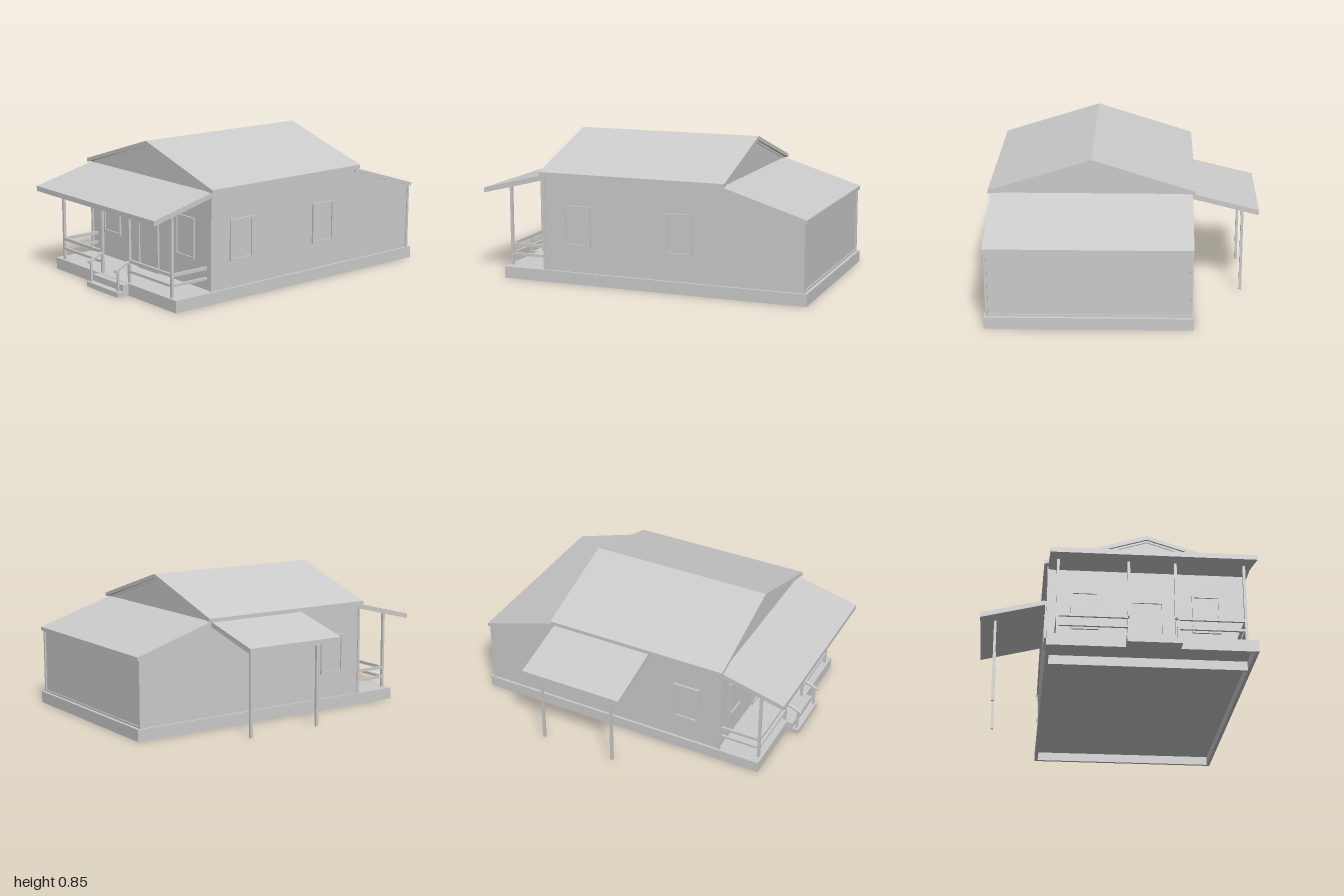
import * as THREE from 'three';

export function createModel() {
  const house = new THREE.Group();
  house.name = 'house';
  const mat = new THREE.MeshStandardMaterial({ color: 0xcccccc, flatShading: true });
  const CX = 0.183; // ridge line of the house

  const add = (name, geo) => {
    const m = new THREE.Mesh(geo, mat);
    m.name = name;
    house.add(m);
    return m;
  };
  // box given by its extents on each axis
  const box = (name, x0, x1, y0, y1, z0, z1) => {
    const m = add(name, new THREE.BoxGeometry(x1 - x0, y1 - y0, z1 - z0));
    m.position.set((x0 + x1) / 2, (y0 + y1) / 2, (z0 + z1) / 2);
    return m;
  };
  const outline = pts => new THREE.Shape(pts.map(p => new THREE.Vector2(p[0], p[1])));
  // outline in (x, y), extruded along z
  const prismZ = (name, pts, z0, z1) => {
    const g = new THREE.ExtrudeGeometry(outline(pts), { depth: z1 - z0, bevelEnabled: false });
    return add(name, g.translate(0, 0, z0));
  };
  // outline in (z, y), extruded along x
  const prismX = (name, pts, x0, x1) => {
    const g = new THREE.ExtrudeGeometry(outline(pts.map(p => [-p[0], p[1]])), { depth: x1 - x0, bevelEnabled: false });
    return add(name, g.rotateY(Math.PI / 2).translate(x0, 0, 0));
  };

  // Foundation: open-bottomed skirt, cross beam and floor
  box('foundationLeft', 0.755, 0.775, 0, 0.07, -1, 0.865);
  box('foundationRight', -0.409, -0.389, 0, 0.07, -1, 0.865);
  for (const z of [-1, 0.585, 0.845]) box('foundationBeam', -0.389, 0.755, 0, 0.07, z, z + 0.02);
  box('floor', -0.389, 0.755, 0.055, 0.07, -0.98, 0.585);
  box('porchFloor', -0.389, 0.755, 0.055, 0.07, 0.605, 0.845);

  // Walls with the lower rear part, and gable block
  prismX('walls', [[0.6, 0.07], [0.6, 0.635], [-0.5, 0.635], [-0.975, 0.47], [-0.975, 0.07]], -0.395, 0.76);
  prismZ('gables', [[-0.4, 0.63], [0.766, 0.63], [CX, 0.822]], -0.502, 0.602);

  // Corner boards and base trim
  for (const [x0, x1] of [[-0.401, -0.386], [0.751, 0.766]]) {
    box('frontCornerBoard', x0, x1, 0.07, 0.62, 0.595, 0.61);
    box('rearCornerBoard', x0, x1, 0.07, 0.468, -0.983, -0.968);
  }
  box('rearTopTrim', -0.395, 0.76, 0.45, 0.468, -0.981, -0.97);
  box('rearBaseTrim', -0.395, 0.76, 0.07, 0.082, -0.981, -0.97);

  // Main roof: one folded slab
  prismZ('mainRoof', [[-0.42, 0.632], [CX, 0.82], [0.787, 0.632], [0.787, 0.655], [CX, 0.845], [-0.42, 0.655]], -0.523, 0.62);
  // Sloping rake boards under the gable ends
  for (const z of [-0.508, 0.6])
    prismZ('rakeBoard', [[-0.4, 0.634], [-0.36, 0.634], [CX, 0.807], [0.726, 0.634], [0.766, 0.634], [CX, 0.822]], z, z + 0.008);

  // Lean-to roofs at front, rear and side
  prismX('porchRoof', [[0.6, 0.605], [1, 0.505], [1, 0.535], [0.6, 0.635]], -0.397, 0.762);
  prismX('rearRoof', [[-0.5, 0.61], [-0.995, 0.46], [-0.995, 0.482], [-0.5, 0.635]], -0.405, 0.772);
  prismZ('sideShelterRoof', [[-0.79, 0.505], [-0.395, 0.605], [-0.395, 0.635], [-0.79, 0.537]], -0.5, 0.142);
  for (const z of [-0.43, 0.04]) box('sideShelterPost', -0.706, -0.69, 0, 0.535, z - 0.008, z + 0.008);

  // Window and door frames, each a rim around a shallow pane
  const framed = (name, w, h, pos, turn) => {
    const s = outline([[-w / 2, -h / 2], [w / 2, -h / 2], [w / 2, h / 2], [-w / 2, h / 2]]);
    const a = w / 2 - 0.013, b = h / 2 - 0.013;
    s.holes.push(new THREE.Path([[-a, -b], [-a, b], [a, b], [a, -b]].map(p => new THREE.Vector2(...p))));
    const g = new THREE.Group();
    g.name = name;
    const rim = new THREE.Mesh(new THREE.ExtrudeGeometry(s, { depth: 0.012, bevelEnabled: false }), mat);
    rim.name = name + 'Frame';
    const pane = new THREE.Mesh(new THREE.BoxGeometry(2 * a, 2 * b, 0.006), mat);
    pane.name = name + 'Pane';
    g.add(rim, pane);
    g.position.set(...pos);
    g.rotation.y = turn;
    house.add(g);
  };
  for (const x of [-0.182, 0.527]) framed('frontWindow', 0.167, 0.24, [x, 0.344, 0.6], 0);
  for (const z of [0.388, -0.243]) framed('leftWindow', 0.167, 0.24, [0.76, 0.344, z], Math.PI / 2);
  framed('rightWindow', 0.167, 0.24, [-0.395, 0.344, 0.388], -Math.PI / 2);
  framed('door', 0.196, 0.345, [0.181, 0.2425, 0.6], 0);

  // Porch posts
  const posts = [-0.349, 0.051, 0.317, 0.711];
  for (const x of posts) box('porchPost', x - 0.008, x + 0.008, 0.07, 0.555, 0.834, 0.85);

  // Railings: two bars on the front and on both ends
  for (const [y0, y1] of [[0.187, 0.205], [0.129, 0.144]]) {
    box('frontRail', posts[0], posts[1], y0, y1, 0.835, 0.849);
    box('frontRail', posts[2], posts[3], y0, y1, 0.835, 0.849);
    for (const x of [posts[0], posts[3]]) box('endRail', x - 0.007, x + 0.007, y0, y1, 0.6, 0.842);
  }

  // Steps with a sloping handrail on each side
  box('lowerStep', 0.031, 0.337, 0, 0.03, 0.865, 0.942);
  box('upperStep', 0.031, 0.337, 0.03, 0.068, 0.865, 0.903);
  for (const x of [posts[1], posts[2]]) {
    box('stepRailPost', x - 0.006, x + 0.006, 0.03, 0.155, 0.918, 0.93);
    prismX('stepHandrail', [[0.842, 0.186], [0.945, 0.143], [0.945, 0.156], [0.842, 0.2]], x - 0.008, x + 0.008);
  }

  return house;
}
